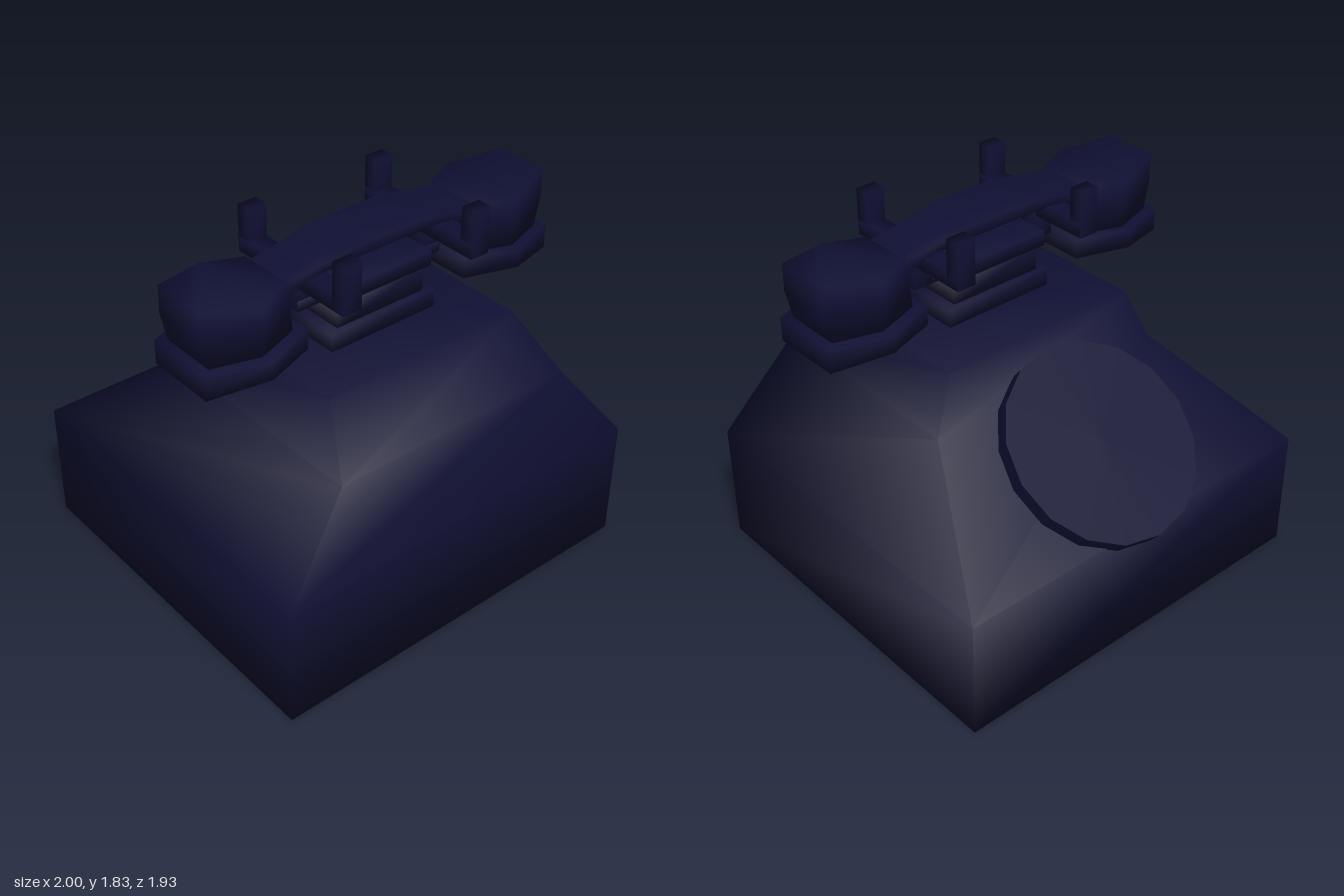
import * as THREE from 'three';

const V = (x, y, z) => new THREE.Vector3(x, y, z);

// Closed skin through equal-sized rings; shared corners give smooth normals
function loft(rings) {
  const n = rings[0].length, last = (rings.length - 1) * n, index = [];
  for (let r = 0; r < rings.length - 1; r++) {
    for (let i = 0; i < n; i++) {
      const a = r * n + i, b = r * n + (i + 1) % n;
      index.push(a, b, b + n, a, b + n, a + n);
    }
  }
  for (let i = 1; i < n - 1; i++) {
    index.push(0, i + 1, i, last, last + i, last + i + 1);
  }
  const g = new THREE.BufferGeometry().setFromPoints(rings.flat());
  g.setIndex(index);
  g.computeVertexNormals();
  return g;
}

// Horizontal rectangle at height y
const rect = (y, hx, z0, z1) => [V(hx, y, z1), V(hx, y, z0), V(-hx, y, z0), V(-hx, y, z1)];

// Box from its centre line and height range
const block = (hx, y0, y1, z0, z1) => loft([rect(y0, hx, z0, z1), rect(y1, hx, z0, z1)]);

// Six-sided ring of a cup: outer, middle and inner x, z half sizes, and heights
const hexRing = ([xo, xm, xi, za, zf, yo, ym, yi]) => [
  V(xm, ym, za), V(xo, yo, zf), V(xo, yo, -zf),
  V(xm, ym, -za), V(xi, yi, -zf), V(xi, yi, zf),
];

// Chamfered cross-section of the handle at x
function handleRing([x, y0, y1, hz]) {
  const c = 0.025;
  return [
    V(x, y0, -hz + c), V(x, y0 + c, -hz), V(x, y1 - c, -hz), V(x, y1, -hz + c),
    V(x, y1, hz - c), V(x, y1 - c, hz), V(x, y0 + c, hz), V(x, y0, hz - c),
  ];
}

export function createModel() {
  const model = new THREE.Group();
  model.name = 'telephone';
  const navy = new THREE.MeshStandardMaterial({ color: 0x0f0f33 });
  navy.name = 'dark navy';

  // Everything sits slightly turned about the vertical
  const phone = new THREE.Group();
  phone.name = 'phone';
  phone.rotation.y = -0.022;
  model.add(phone);

  const add = (parent, name, geometry, x = 0, y = 0, z = 0) => {
    const mesh = new THREE.Mesh(geometry, navy);
    mesh.name = name;
    mesh.position.set(x, y, z);
    parent.add(mesh);
    return mesh;
  };

  // Tapered body
  add(phone, 'body', loft([
    rect(0, 0.98, -0.866, 0.946),
    rect(0.595, 0.98, -0.866, 0.946),
    rect(1.027, 0.635, -0.24, 0.856),
    rect(1.285, 0.52, -0.19, 0.64),
  ]));

  // Dial disc leaning on the slope
  const dial = add(phone, 'dial', new THREE.CylinderGeometry(0.477, 0.477, 0.08, 16), 0, 0.88, -0.572);
  dial.rotation.x = -0.693;

  // Stepped neck
  const neckX = -0.006;
  add(phone, 'neckFoot', block(0.29, 1.28, 1.374, 0.095, 0.385), neckX);
  add(phone, 'neck', block(0.242, 1.37, 1.5, 0.12, 0.36), neckX);
  add(phone, 'neckCap', block(0.27, 1.5, 1.572, 0.093, 0.38), neckX);

  // Cradle: cross bar with a two-pronged fork at each end
  const cradle = new THREE.Group();
  cradle.name = 'cradle';
  cradle.position.set(-0.002, 0, 0.237);
  phone.add(cradle);
  add(cradle, 'cradleBar', block(0.4, 1.48, 1.53, -0.05, 0.05));
  for (const s of [-1, 1]) {
    const x = s * 0.353;
    add(cradle, 'forkStem', block(0.048, 1.48, 1.62, -0.05, 0.05), x);
    add(cradle, 'forkArm', block(0.048, 1.6, 1.67, -0.34, 0.34), x);
    for (const t of [-1, 1]) {
      add(cradle, 'forkProng', block(0.048, 1.6, 1.825, -0.036, 0.036), x, 0, t * 0.309);
    }
  }

  // Handset: arched handle and a flanged cup at each end
  const handset = new THREE.Group();
  handset.name = 'handset';
  handset.position.set(-0.006, 0, 0.235);
  phone.add(handset);
  const half = [
    [0.56, 1.59, 1.708, 0.13], [0.515, 1.6, 1.71, 0.13], [0.41, 1.637, 1.728, 0.125],
    [0.31, 1.66, 1.745, 0.13], [0.165, 1.67, 1.765, 0.138],
  ];
  const sections = [
    ...half.map(([x, ...rest]) => [-x, ...rest]),
    ...half.slice().reverse(),
  ];
  add(handset, 'handle', loft(sections.map(handleRing)));

  const cupBody = loft([
    [0.912, 0.7, 0.49, 0.21, 0.14, 1.455, 1.46, 1.465],
    [0.946, 0.69, 0.505, 0.222, 0.14, 1.61, 1.61, 1.6],
    [0.946, 0.69, 0.518, 0.22, 0.135, 1.74, 1.705, 1.71],
  ].map(hexRing));
  const cupFlange = loft([
    [0.957, 0.69, 0.44, 0.265, 0.175, 1.35, 1.385, 1.38],
    [0.957, 0.69, 0.44, 0.265, 0.175, 1.465, 1.47, 1.476],
  ].map(hexRing));
  for (const side of ['left', 'right']) {
    const cup = new THREE.Group();
    cup.name = side + 'Cup';
    cup.rotation.y = side === 'left' ? 0 : Math.PI;
    handset.add(cup);
    add(cup, 'cupBody', cupBody);
    add(cup, 'cupFlange', cupFlange);
  }

  return model;
}
